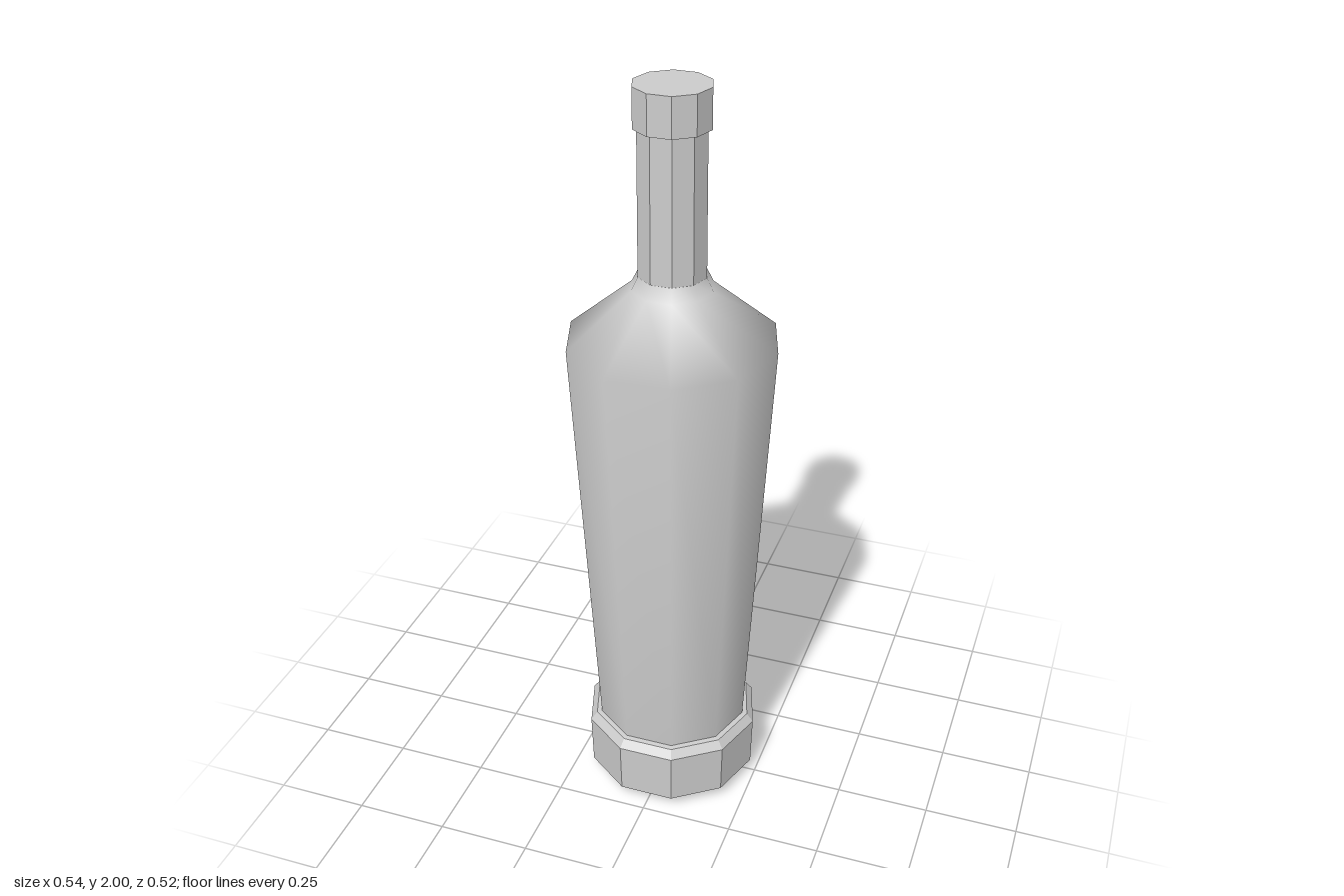
import * as THREE from 'three';

const SIDES = 10;

// Ten-sided turned part; profile is [radius, height] from bottom to top.
function turned(name, profile, flatShading) {
  const points = profile.map(([r, y]) => new THREE.Vector2(r, y));
  const geometry = new THREE.LatheGeometry(points, SIDES, Math.PI / 2);
  const material = new THREE.MeshStandardMaterial({ color: 0xcccccc, flatShading });
  const mesh = new THREE.Mesh(geometry, material);
  mesh.name = name;
  return mesh;
}

export function createModel() {
  const bottle = new THREE.Group();
  bottle.name = 'bottle';
  bottle.add(
    // Chamfered underside
    turned('underside', [[0, 0], [0.17, 0], [0.236, 0.035]], false),
    // Faceted foot with a bevelled upper rim
    turned('foot', [[0.236, 0.035], [0.24, 0.18], [0.222, 0.203], [0.205, 0.205]], true),
    // Tapered body running smoothly into the shoulder
    turned('body', [[0.208, 0.205], [0.272, 1.355], [0.105, 1.495], [0.088, 1.53]], false),
    // Faceted neck
    turned('neck', [[0.088, 1.53], [0.087, 1.9]], true),
    // Stopper with a flat top
    turned('cap', [[0.085, 1.9], [0.097, 1.9], [0.097, 2], [0, 2]], true),
  );
  return bottle;
}
